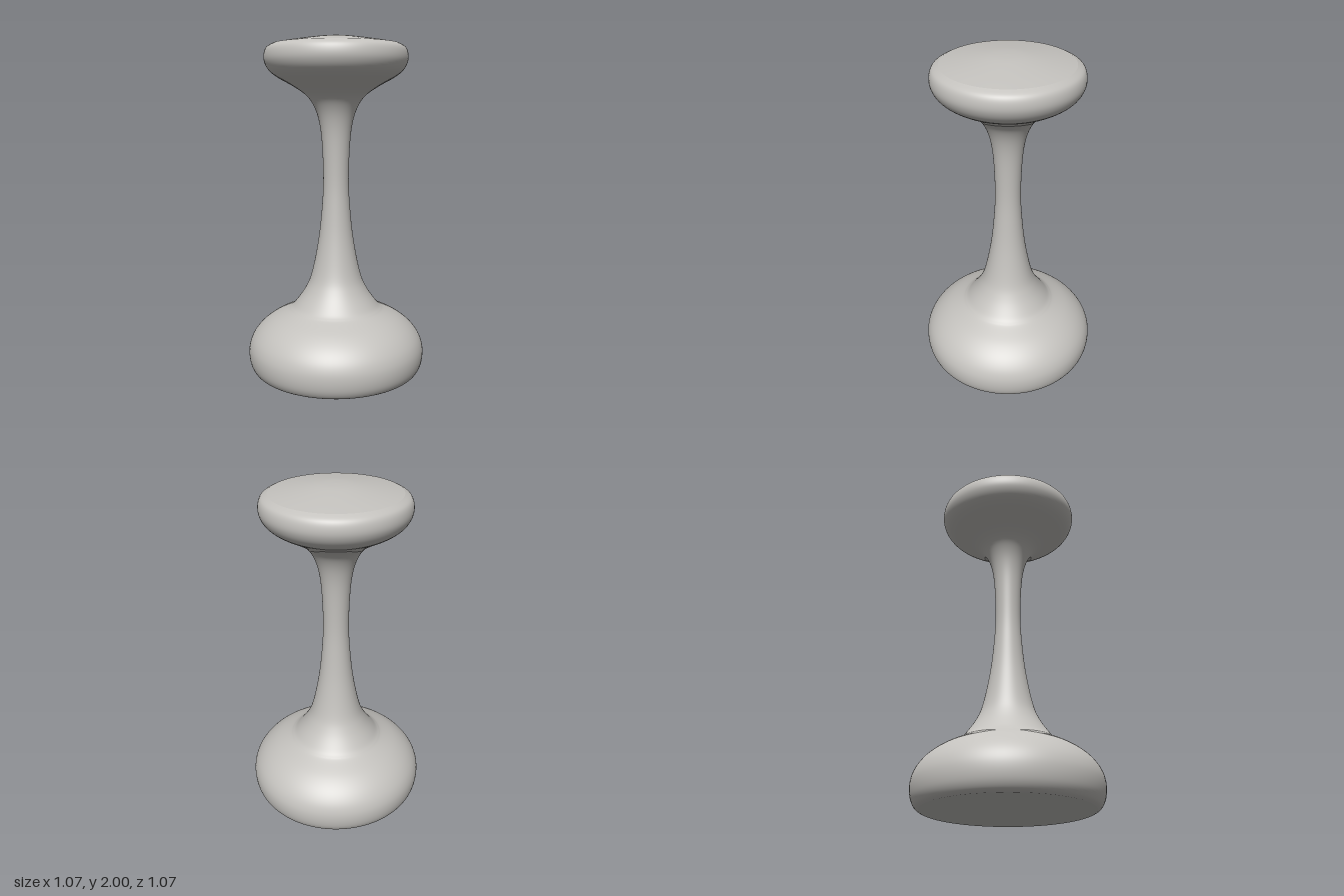
import * as THREE from 'three';

export function createModel() {
  const model = new THREE.Group();
  model.name = 'pedestal';
  const stone = new THREE.MeshStandardMaterial({ color: 0xc4c2be });
  stone.name = 'warm grey';

  // Turns a smooth profile of [radius, height] points, listed bottom to top
  function turned(name, profile, samples) {
    const curve = new THREE.SplineCurve(profile.map(([r, y]) => new THREE.Vector2(r, y)));
    const points = curve.getPoints(samples);
    points.forEach((p) => { p.x = Math.max(p.x, 0); });
    const mesh = new THREE.Mesh(new THREE.LatheGeometry(points, 96), stone);
    mesh.name = name;
    model.add(mesh);
  }

  // Flat underside
  turned('underside', [[0, 0], [0.48, 0]], 1);

  // Bulging foot
  turned('foot', [
    [0.48, 0], [0.505, 0.016], [0.525, 0.055], [0.533, 0.11], [0.527, 0.165],
    [0.503, 0.22], [0.457, 0.275], [0.39, 0.325], [0.3, 0.37], [0.28, 0.382],
  ], 45);

  // Slender waisted stem flaring at both ends, running on into the head
  turned('stemAndHead', [
    [0.28, 0.382], [0.25, 0.41], [0.187, 0.5], [0.146, 0.6], [0.106, 0.8],
    [0.084, 1.0], [0.076, 1.17], [0.083, 1.38], [0.1, 1.51], [0.131, 1.6],
    [0.175, 1.66], [0.25, 1.712], [0.34, 1.762], [0.39, 1.803], [0.415, 1.85],
    [0.417, 1.895], [0.402, 1.932], [0.365, 1.954],
  ], 90);

  // Shallow domed top
  turned('domedTop', [
    [0.365, 1.954], [0.28, 1.969], [0.17, 1.986], [0.08, 1.997], [0, 2],
  ], 16);

  return model;
}
